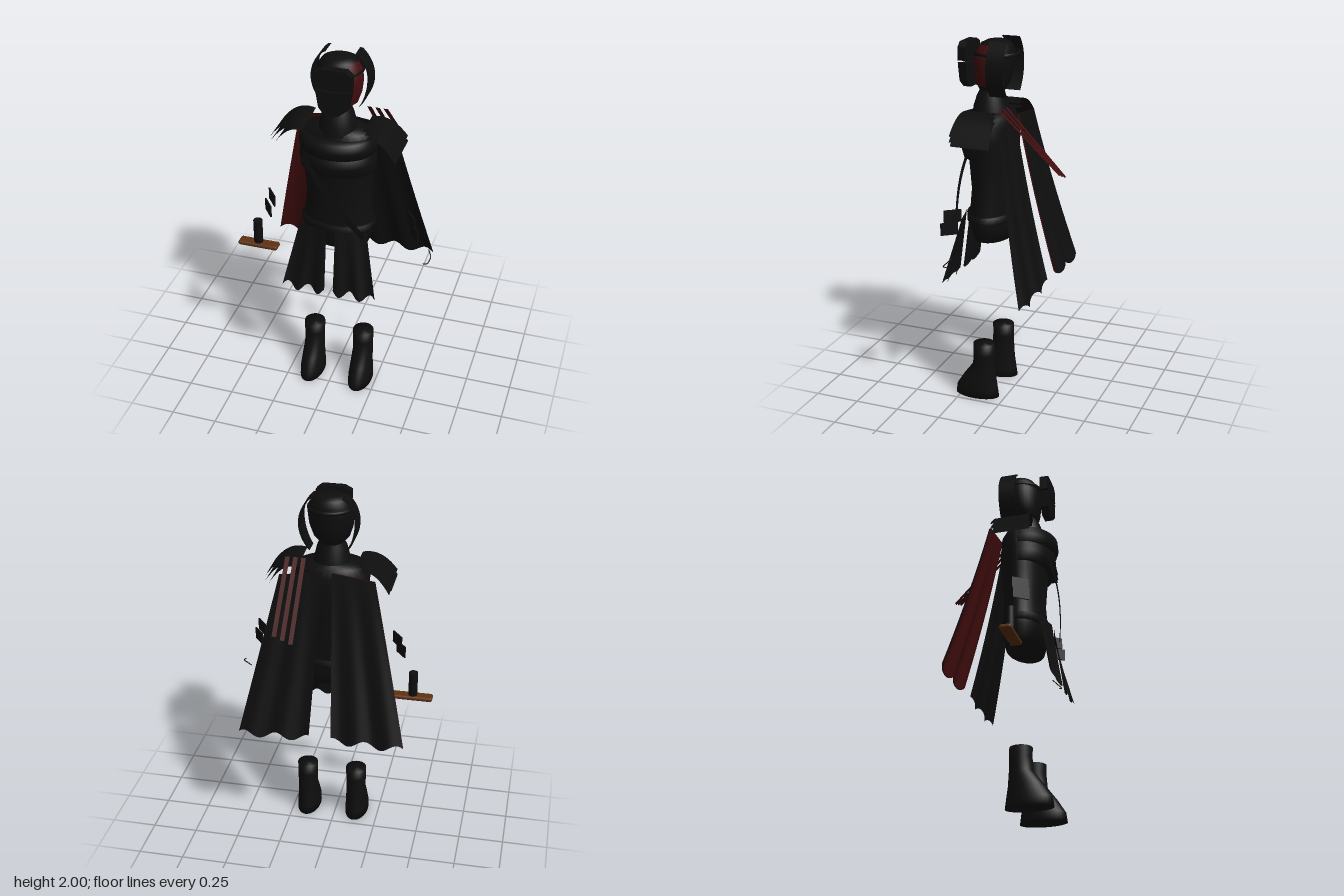
import * as THREE from 'three';
import { mergeVertices } from 'three/addons/utils/BufferGeometryUtils.js';
import { RoundedBoxGeometry } from 'three/addons/geometries/RoundedBoxGeometry.js';

const mat = (name, color) => {
  const m = new THREE.MeshStandardMaterial({ color, side: THREE.DoubleSide });
  m.name = name;
  return m;
};
const CX = 0.02; // centre line of the body

// smooth surface from a rule f(u, v) -> [x, y, z]
function sheet(f, nu, nv) {
  const pos = [], idx = [];
  for (let i = 0; i <= nu; i++) for (let j = 0; j <= nv; j++) pos.push(...f(i / nu, j / nv));
  for (let i = 0; i < nu; i++) for (let j = 0; j < nv; j++) {
    const a = i * (nv + 1) + j, b = a + nv + 1;
    idx.push(a, b, a + 1, b, b + 1, a + 1);
  }
  let g = new THREE.BufferGeometry();
  g.setAttribute('position', new THREE.Float32BufferAttribute(pos, 3));
  g.setIndex(idx);
  g = mergeVertices(g, 1e-5);
  g.computeVertexNormals();
  return g;
}

// stacked ellipses, each ring is [y, centre z, radius x, radius z]
function loft(rings, cx = CX, start = 0, len = Math.PI * 2, grow = 0) {
  const n = rings.length - 1;
  return sheet((u, v) => {
    const [y, cz, rx, rz] = rings[Math.round(u * n)], a = start + v * len;
    return [cx + (rx + grow) * Math.cos(a), y, cz + (rz + grow) * Math.sin(a)];
  }, n, 32);
}

function extrude(points, depth, z) {
  const s = new THREE.Shape(points.map(p => new THREE.Vector2(p[0], p[1])));
  return new THREE.ExtrudeGeometry(s, { depth, bevelEnabled: false }).translate(0, 0, z);
}

export function createModel() {
  const root = new THREE.Group();
  const black = mat('black cloth', 0x0e0e0e);
  const red = mat('dark red cloth', 0x420d0e);
  const brown = mat('brown wood', 0x5e3212);
  const add = (name, geo, m = black) => {
    const mesh = new THREE.Mesh(geo, m);
    mesh.name = name;
    root.add(mesh);
    return mesh;
  };

  // Torso, neck and belt
  add('torso', loft([
    [0.92, 0.11, 0, 0], [0.92, 0.11, 0.16, 0.1], [1.0, 0.115, 0.19, 0.115], [1.07, 0.115, 0.19, 0.115],
    [1.2, 0.11, 0.175, 0.11], [1.35, 0.11, 0.185, 0.122], [1.48, 0.11, 0.2, 0.128],
    [1.56, 0.11, 0.205, 0.118], [1.6, 0.11, 0.17, 0.105], [1.62, 0.115, 0.09, 0.09]]));
  add('neck', loft([[1.59, 0.125, 0.105, 0.1], [1.64, 0.125, 0.095, 0.095], [1.7, 0.125, 0.08, 0.075], [1.74, 0.12, 0.06, 0.06]]));
  add('belt', loft([[1.03, 0.117, 0.18, 0.11], [1.03, 0.117, 0.2, 0.13], [1.07, 0.117, 0.2, 0.13], [1.07, 0.117, 0.18, 0.11]]));

  // Chest plates wrapped round the front
  [[1.49, 1.585, 0.175], [1.385, 1.5, 0.16]].forEach(([lo, hi, rz]) => add('chestPlate', loft([
    [lo, 0.12, 0.185, 0.12], [lo, 0.12, 0.2, rz - 0.015], [(lo + hi) / 2, 0.12, 0.205, rz + 0.004],
    [hi, 0.12, 0.2, rz], [hi, 0.12, 0.185, 0.12]], CX, 0, Math.PI)));
  // Diagonal chest strap
  add('strap', sheet((u, v) => [-0.13 + 0.33 * u + (v - 0.5) * 0.025, 1.48 - 0.44 * u + (v - 0.5) * 0.025,
    0.26 + 0.035 * Math.sin(Math.PI * u)], 12, 1));

  // Head, headband and red temple patch
  const head = [[1.71, 0.12, 0, 0], [1.715, 0.12, 0.055, 0.06], [1.76, 0.115, 0.095, 0.085], [1.82, 0.108, 0.115, 0.098],
    [1.89, 0.103, 0.122, 0.106], [1.94, 0.098, 0.113, 0.1], [1.975, 0.095, 0.09, 0.08], [1.99, 0.095, 0.06, 0.05], [1.993, 0.095, 0, 0]];
  add('head', loft(head));
  add('templePatch', loft(head.slice(2, 7), CX, 0, 0.85, 0.005), red);
  add('headband', new THREE.TorusGeometry(1, 0.06, 8, 40).rotateX(Math.PI / 2)
    .scale(0.117, 0.2, 0.115).translate(CX, 1.925, 0.092));

  // Two-piece face mask in front of the head
  add('maskBrow', extrude([[-0.06, 1.885], [-0.06, 1.965], [-0.02, 1.985], [0.1, 1.985], [0.13, 1.96], [0.13, 1.89], [0.04, 1.875]], 0.045, 0.222));
  add('maskJaw', extrude([[-0.055, 1.875], [0.04, 1.866], [0.13, 1.88], [0.11, 1.78], [0.06, 1.74], [-0.01, 1.74], [-0.04, 1.78]], 0.045, 0.222));

  // Boots
  const bootRings = [[0, 0.162, 0, 0], [0, 0.162, 0.066, 0.127], [0.05, 0.162, 0.065, 0.12], [0.12, 0.145, 0.06, 0.093],
    [0.19, 0.121, 0.056, 0.064], [0.26, 0.119, 0.057, 0.06], [0.32, 0.12, 0.058, 0.06], [0.32, 0.12, 0, 0]];

  for (const s of [-1, 1]) {
    add('boot', loft(bootRings, CX + s * 0.143));

    // Side crescents of the helmet
    const cres = new THREE.Shape();
    cres.moveTo(CX + s * 0.09, 2.0);
    cres.bezierCurveTo(CX + s * 0.175, 1.92, CX + s * 0.175, 1.8, CX + s * 0.095, 1.71);
    cres.bezierCurveTo(CX + s * 0.15, 1.8, CX + s * 0.15, 1.92, CX + s * 0.125, 1.94);
    cres.bezierCurveTo(CX + s * 0.12, 1.96, CX + s * 0.11, 1.98, CX + s * 0.075, 2.0);
    add('crescent', new THREE.ExtrudeGeometry(cres, { depth: 0.095, bevelEnabled: false, curveSegments: 16 }));

    // Layered shoulder plates
    [[0.335, 1.545, 1.665], [0.337, 1.515, 1.645], [0.325, 1.49, 1.62]].forEach(([x, y, top], k) => {
      const c = new THREE.QuadraticBezierCurve(new THREE.Vector2(0.15 + k * 0.01, top - 0.025),
        new THREE.Vector2(0.25, top), new THREE.Vector2(x, y));
      add('shoulderPlate', sheet((u, v) => {
        const p = c.getPoint(u);
        return [CX + s * p.x, p.y, 0.115 + (v - 0.5) * (0.17 + 0.045 * u)];
      }, 10, 4));
    });

    // Back cape panels with folds and wavy hem
    const cape = dz => sheet((u, v) => {
      const x = 0.025 + 0.23 * v + u * (0.035 + 0.165 * v);
      const y = 1.6 - 0.03 * v - u * (0.9 - 0.02 * v) + 0.02 * u * Math.cos(v * 14);
      const z = -0.02 - 0.16 * u - 0.04 * u * u + 0.012 * u * Math.sin(v * 14);
      return [CX + s * x, y, z + dz];
    }, 16, 32);
    add('cape', cape(0));
    if (s < 0) add('capeLining', cape(0.007), red);

    // Front skirt panels
    add('skirtPanel', sheet((u, v) => [
      CX + s * (0.024 + v * (0.16 + 0.075 * u)),
      1.05 - 0.36 * u + 0.02 * u * Math.cos(v * 13 + 1),
      0.265 - 0.04 * v * (1 - u) + 0.045 * u + 0.013 * u * Math.sin(v * 13)], 10, 28));

    // Forearm plates, both turned the same way
    [[0.412, 1.147, 0.176], [0.43, 1.083, 0.186]].forEach(([x, y, z], k) => {
      const m = add('forearmPlate', new THREE.BoxGeometry(0.092, 0.066, 0.008));
      m.position.set(s > 0 ? x + 0.016 + k * 0.004 : -x + 0.079 - k * 0.002, y, s > 0 ? z : z + 0.002);
      m.rotation.y = -0.92;
    });
  }

  // Red ribbons trailing from the left shoulder
  [0.144, 0.187, 0.23].forEach((x, k) => {
    const end = [-0.335, 1.33 + k * 0.018];
    add('ribbon', sheet((u, v) => [x + (v - 0.5) * 0.024, 1.67 + u * (end[1] - 1.67),
      -0.01 + u * (end[0] + 0.01)], 4, 1), red);
  });

  // Sword hilt and guard in the right hand
  add('swordGrip', new THREE.CylinderGeometry(0.025, 0.025, 0.15, 20)).position.set(-0.432, 0.89, 0.152);
  add('swordGuard', new RoundedBoxGeometry(0.226, 0.026, 0.064, 4, 0.012), brown).position.set(-0.43, 0.812, 0.153);

  // Small hook by the left hand
  const hook = new THREE.CatmullRomCurve3([[0.502, 0.89, 0.182], [0.525, 0.9, 0.19], [0.538, 0.928, 0.165], [0.52, 0.955, 0.137]]
    .map(p => new THREE.Vector3(...p)));
  add('hook', new THREE.TubeGeometry(hook, 10, 0.003, 6));

  return root;
}
